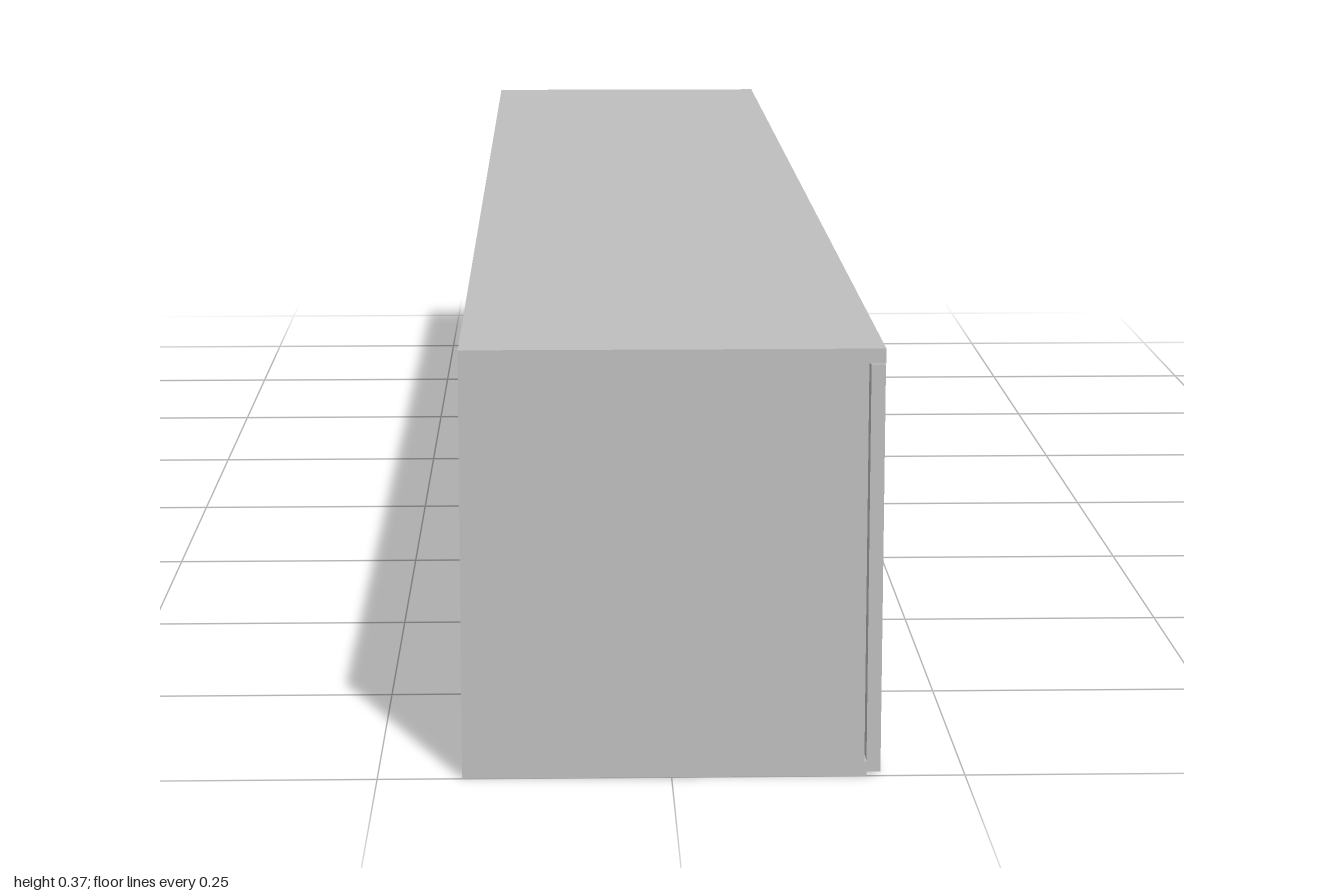
import * as THREE from 'three';

const T = 0.0125;                 // board thickness
const H = 0.37, BACK = -0.178, FRONT = 0.178;
const CARCASS = 0.164;            // front edge of the upright boards
const SHELF_FRONT = 0.148;        // shelves are set back from the opening

export function createModel() {
  const model = new THREE.Group();
  model.name = 'sideboard';
  const grey = new THREE.MeshStandardMaterial({ color: 0xbfbfbf });
  grey.name = 'light grey board';

  // A box given by its limits on each axis
  function board(parent, name, x0, x1, y0, y1, z0, z1) {
    const mesh = new THREE.Mesh(new THREE.BoxGeometry(x1 - x0, y1 - y0, z1 - z0), grey);
    mesh.position.set((x0 + x1) / 2, (y0 + y1) / 2, (z0 + z1) / 2);
    mesh.name = name;
    parent.add(mesh);
  }

  // One open-backed unit: two bays behind doors, or one open niche
  function unit(name, z0, z1, hasDoors) {
    const g = new THREE.Group();
    g.name = name;
    const mid = (z0 + z1) / 2;
    board(g, 'top', BACK, FRONT, H - T, H, z0, z1);
    board(g, 'bottom', BACK, 0.166, 0, T, z0, z1);
    board(g, 'sidePanel', BACK, CARCASS, T, H - T, z0, z0 + T);
    board(g, 'sidePanel', BACK, CARCASS, T, H - T, z1 - T, z1);
    if (hasDoors) board(g, 'divider', BACK, CARCASS, T, H - T, mid - T / 2, mid + T / 2);

    // Two shelves in each bay
    const bays = hasDoors
      ? [[z0 + T, mid - T / 2], [mid + T / 2, z1 - T]]
      : [[z0 + T, z1 - T]];
    for (const [a, b] of bays)
      for (const y of [0.09, 0.235])
        board(g, 'shelf', BACK, SHELF_FRONT, y, y + T, a, b);

    // A pair of doors with narrow gaps
    if (hasDoors) {
      const gap = 0.002;
      for (const [a, b] of [[z0, mid], [mid, z1]])
        board(g, 'door', 0.166, FRONT, 0.003, 0.356, a + gap, b - gap);
    }
    model.add(g);
  }

  unit('rearCabinet', -1, -0.428, true);
  unit('rearNiche', -0.428, -0.286, false);
  unit('middleCabinet', -0.286, 0.286, true);
  unit('frontNiche', 0.286, 0.428, false);
  unit('frontCabinet', 0.428, 1, true);
  return model;
}
